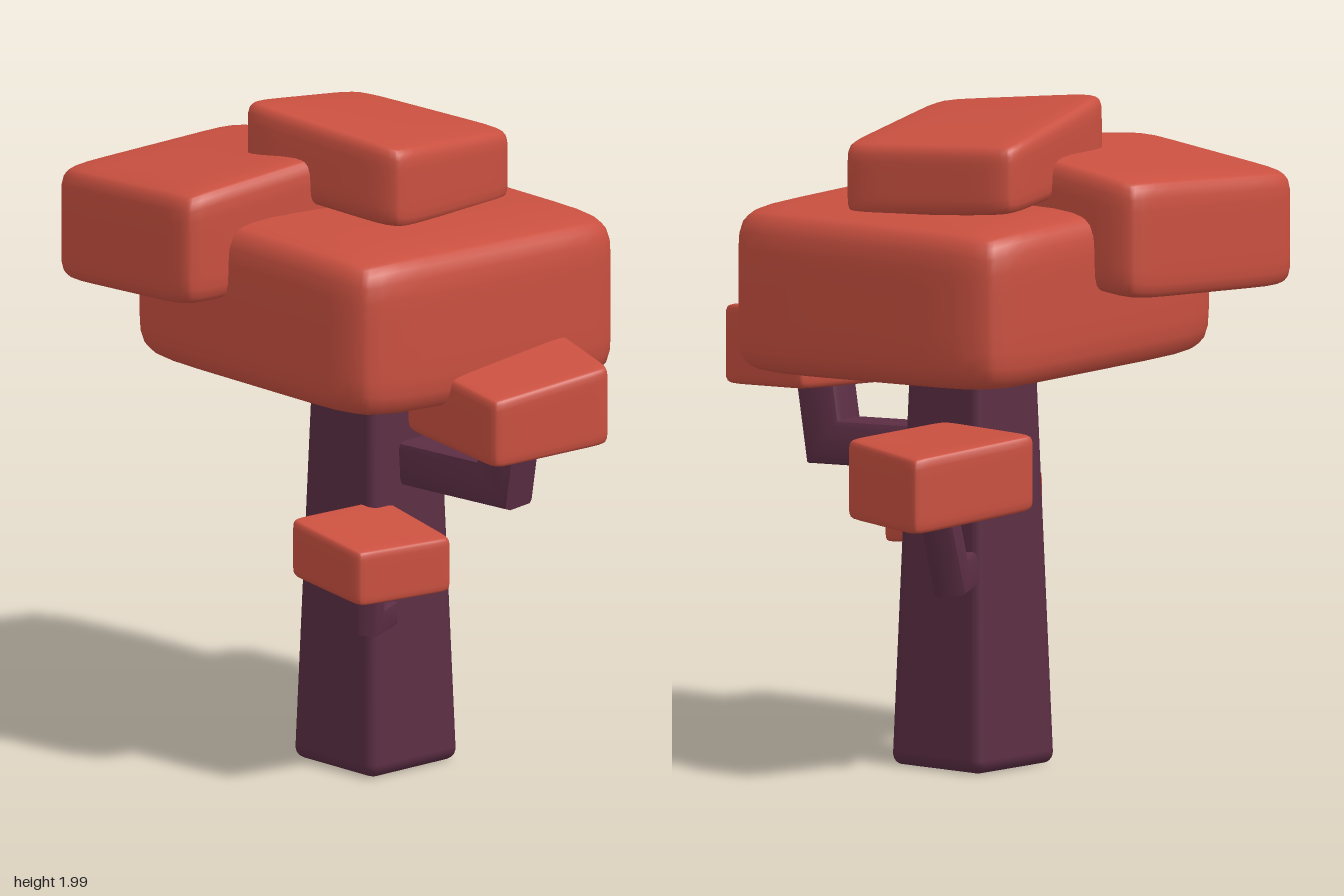
import * as THREE from 'three';
import { mergeVertices, toCreasedNormals } from 'three/addons/utils/BufferGeometryUtils.js';
import { RoundedBoxGeometry } from 'three/addons/geometries/RoundedBoxGeometry.js';

const leafRed = new THREE.MeshStandardMaterial({ name: 'leafRed', color: 0xc95040 });
const barkPurple = new THREE.MeshStandardMaterial({ name: 'barkPurple', color: 0x5c2e44 });

// Puffy block through four upright edges [x, z, bottom, top]:
// front-left, front-right, back-right, back-left as seen from the front.
// Higher power gives crisper edges and flatter faces.
function puffyBlock(edges, power) {
  let geo = new THREE.BoxGeometry(2, 2, 2, 12, 12, 12);
  geo.deleteAttribute('uv');
  geo.deleteAttribute('normal');
  geo = mergeVertices(geo);
  const pos = geo.attributes.position;
  const p = new THREE.Vector3();
  for (let i = 0; i < pos.count; i++) {
    p.fromBufferAttribute(pos, i);
    // crowd the grid towards the edges, then round it off
    const q = p.toArray().map((v) => Math.sin((v * Math.PI) / 2));
    const norm = q.reduce((sum, v) => sum + Math.abs(v) ** power, 0) ** (1 / power);
    const [x, y, z] = q.map((v) => (v / norm) * 2 ** (1 / power));
    const s = (1 + x) / 2, t = (1 + y) / 2, f = (1 + z) / 2;
    const weights = [(1 - s) * f, s * f, s * (1 - f), (1 - s) * (1 - f)];
    p.set(0, 0, 0);
    edges.forEach(([ex, ez, low, high], k) => {
      p.x += weights[k] * ex;
      p.y += weights[k] * (low + (high - low) * t);
      p.z += weights[k] * ez;
    });
    pos.setXYZ(i, p.x, p.y, p.z);
  }
  geo.computeVertexNormals();
  return geo;
}

// Square bent limb a -> b -> c with a mitred elbow and bevelled edges
function bentLimb(a, b, c, thick) {
  const [A, B, C] = [a, b, c].map((v) => new THREE.Vector3(...v));
  const u = B.clone().sub(A);
  const len = u.length();
  u.normalize();
  const rise = C.clone().sub(B);
  const w = u.clone().cross(rise).normalize();
  const v = w.clone().cross(u);
  const n = new THREE.Vector2(-rise.dot(v), rise.dot(u)).normalize();
  const h = thick / 2;
  const m = new THREE.Vector2(n.x, n.y + 1).divideScalar(1 + n.y);
  const elbow = new THREE.Vector2(len, 0);
  const end = new THREE.Vector2(len + rise.dot(u), rise.dot(v));
  const shape = new THREE.Shape([
    new THREE.Vector2(0, -h),
    elbow.clone().addScaledVector(m, -h),
    end.clone().addScaledVector(n, -h),
    end.clone().addScaledVector(n, h),
    elbow.clone().addScaledVector(m, h),
    new THREE.Vector2(0, h),
  ]);
  const bevel = thick * 0.16;
  const depth = thick - 2 * bevel;
  const geo = new THREE.ExtrudeGeometry(shape, {
    depth, bevelEnabled: true, bevelThickness: bevel, bevelSize: bevel, bevelOffset: -bevel, bevelSegments: 2,
  });
  geo.translate(0, 0, -depth / 2);
  geo.applyMatrix4(new THREE.Matrix4().makeBasis(u, v, w).setPosition(A));
  return toCreasedNormals(geo, 0.7);
}

// Rounded square trunk, narrowing upwards
function taperedTrunk(height) {
  const geo = new RoundedBoxGeometry(1, height, 1, 3, 0.1);
  geo.translate(0, height / 2, 0);
  const pos = geo.attributes.position;
  for (let i = 0; i < pos.count; i++) {
    const y = pos.getY(i);
    const width = 0.36 - 0.068 * y;
    // tighten the rounding at the foot
    const foot = y < 0.1 ? y * 0.4 : y < height / 2 ? 0.04 + ((y - 0.1) * (height / 2 - 0.04)) / (height / 2 - 0.1) : y;
    pos.setXYZ(i, 0.027 + pos.getX(i) * width, foot, -0.025 + pos.getZ(i) * width);
  }
  return geo;
}

export function createModel() {
  const tree = new THREE.Group();
  tree.name = 'tree';
  const add = (name, geo, material) => {
    const mesh = new THREE.Mesh(geo, material);
    mesh.name = name;
    tree.add(mesh);
  };

  // Trunk and branches
  add('trunk', taperedTrunk(1.45), barkPurple);
  add('frontBranch', bentLimb([0.04, 0.935, 0.02], [0.105, 0.925, 0.45], [0.105, 1.16, 0.49], 0.135), barkPurple);
  add('leftBranch', bentLimb([0.08, 0.61, -0.07], [0.315, 0.6, -0.19], [0.4, 0.86, -0.2], 0.1), barkPurple);
  add('rightBranch', bentLimb([-0.06, 0.49, 0.12], [-0.2, 0.5, 0.2], [-0.205, 0.7, 0.205], 0.07), barkPurple);

  // Large crown blocks
  add('mainCrown', puffyBlock([
    [-0.46, 0.46, 1.22, 1.68], [0.52, 0.46, 1.18, 1.65], [0.52, -0.52, 1.21, 1.66], [-0.46, -0.52, 1.23, 1.7],
  ], 8), leafRed);
  add('topCrown', puffyBlock([
    [-0.12, 0.23, 1.69, 1.93], [0.42, 0.12, 1.66, 1.87], [0.32, -0.42, 1.7, 1.9], [-0.22, -0.31, 1.74, 1.99],
  ], 9), leafRed);
  add('backCrown', puffyBlock([
    [-0.63, -0.12, 1.48, 1.81], [0.07, -0.07, 1.52, 1.87], [0.08, -0.69, 1.45, 1.79], [-0.56, -0.75, 1.43, 1.76],
  ], 9), leafRed);

  // Small blocks on the branches
  add('frontFoliage', puffyBlock([
    [-0.15, 0.69, 1.06, 1.26], [0.23, 0.76, 1.08, 1.31], [0.33, 0.38, 1.11, 1.35], [-0.14, 0.3, 1.1, 1.32],
  ], 14), leafRed);
  add('leftFoliage', puffyBlock([
    [0.16, -0.03, 0.83, 1.03], [0.52, 0.03, 0.78, 1.01], [0.65, -0.34, 0.78, 1.0], [0.25, -0.45, 0.82, 1.04],
  ], 14), leafRed);
  add('rightFoliage', puffyBlock([
    [-0.37, 0.34, 0.61, 0.77], [-0.06, 0.39, 0.61, 0.77], [-0.04, 0.08, 0.65, 0.82], [-0.38, 0.06, 0.65, 0.82],
  ], 14), leafRed);

  return tree;
}
